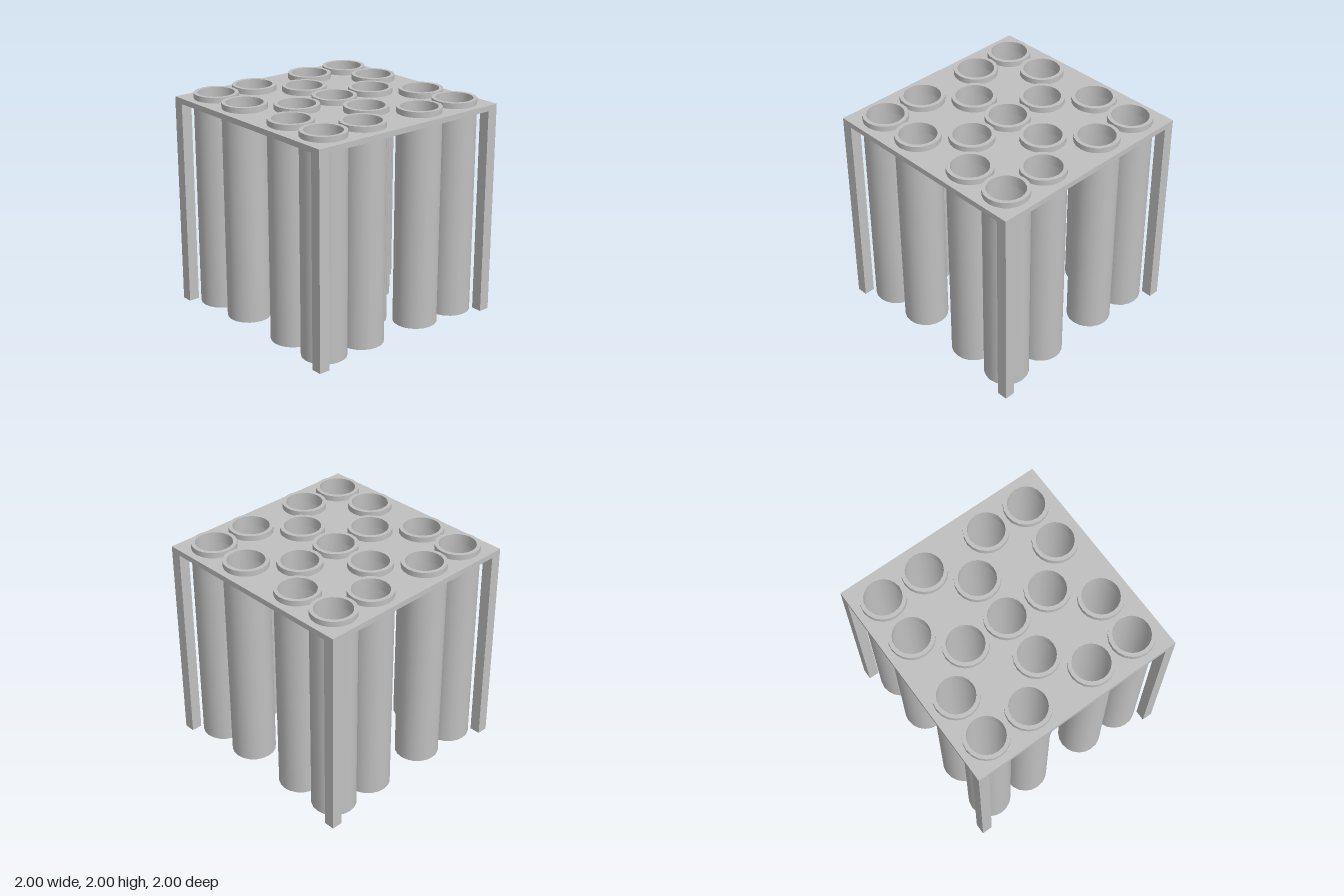
import * as THREE from 'three';
import { mergeGeometries } from 'three/addons/utils/BufferGeometryUtils.js';

const SIDES = 20;
const R = 0.2, HOLE = 0.165;      // tube and mouth radii
const TOP = 2, PLATE_TOP = 1.95, PLATE_BOTTOM = 1.9;

// Every tube position as [x, z]
function tubePositions() {
  const list = [[0, 0], [0.42, 0], [-0.42, 0], [0, 0.42], [0, -0.42]];
  for (const sx of [-1, 1]) for (const sz of [-1, 1]) {
    list.push([0.74 * sx, 0.74 * sz], [0.32 * sx, 0.74 * sz], [0.74 * sx, 0.32 * sz]);
  }
  return list;
}

// Tube open at the bottom with a narrower mouth; one lathe per profile segment keeps edges sharp
function tubeGeometry() {
  const profile = [[R, 0], [R, TOP], [HOLE, TOP], [HOLE, PLATE_BOTTOM], [R, PLATE_BOTTOM]]
    .map(([r, y]) => new THREE.Vector2(r, y));
  const bands = [];
  for (let i = 0; i < profile.length - 1; i++) {
    bands.push(new THREE.LatheGeometry([profile[i], profile[i + 1]], SIDES));
  }
  return mergeGeometries(bands);
}

// Square top plate with a hole for each tube
function plateGeometry(positions) {
  const shape = new THREE.Shape([[-1, -1], [1, -1], [1, 1], [-1, 1]].map(([x, y]) => new THREE.Vector2(x, y)));
  for (const [x, z] of positions) {
    const pts = [];
    for (let i = 0; i < SIDES; i++) {
      const a = (-i / SIDES) * Math.PI * 2;
      pts.push(new THREE.Vector2(x + Math.sin(a) * (R - 0.004), -z + Math.cos(a) * (R - 0.004)));
    }
    shape.holes.push(new THREE.Path(pts));
  }
  const g = new THREE.ExtrudeGeometry(shape, { depth: PLATE_TOP - PLATE_BOTTOM, bevelEnabled: false });
  g.rotateX(-Math.PI / 2);
  g.translate(0, PLATE_BOTTOM, 0);
  return g;
}

// Square leg without its bottom face
function legGeometry() {
  const g = new THREE.BoxGeometry(0.1, PLATE_BOTTOM, 0.1);
  g.setIndex(Array.from(g.index.array).filter((_, i) => i < 18 || i >= 24));
  g.clearGroups();
  return g;
}

export function createModel() {
  const model = new THREE.Group();
  model.name = 'tubeRack';
  const grey = new THREE.MeshStandardMaterial({ color: 0xc0c0c0, side: THREE.DoubleSide });
  grey.name = 'grey';

  const add = (geometry, name, x = 0, y = 0, z = 0) => {
    const mesh = new THREE.Mesh(geometry, grey);
    mesh.name = name;
    mesh.position.set(x, y, z);
    model.add(mesh);
  };

  const positions = tubePositions();
  add(plateGeometry(positions), 'topPlate');

  const tube = tubeGeometry();
  for (const [x, z] of positions) add(tube, 'tube', x, 0, z);

  const leg = legGeometry();
  for (const sx of [-1, 1]) for (const sz of [-1, 1]) {
    add(leg, `${sz > 0 ? 'front' : 'back'}${sx > 0 ? 'Left' : 'Right'}Leg`, 0.95 * sx, PLATE_BOTTOM / 2, 0.95 * sz);
  }
  return model;
}
